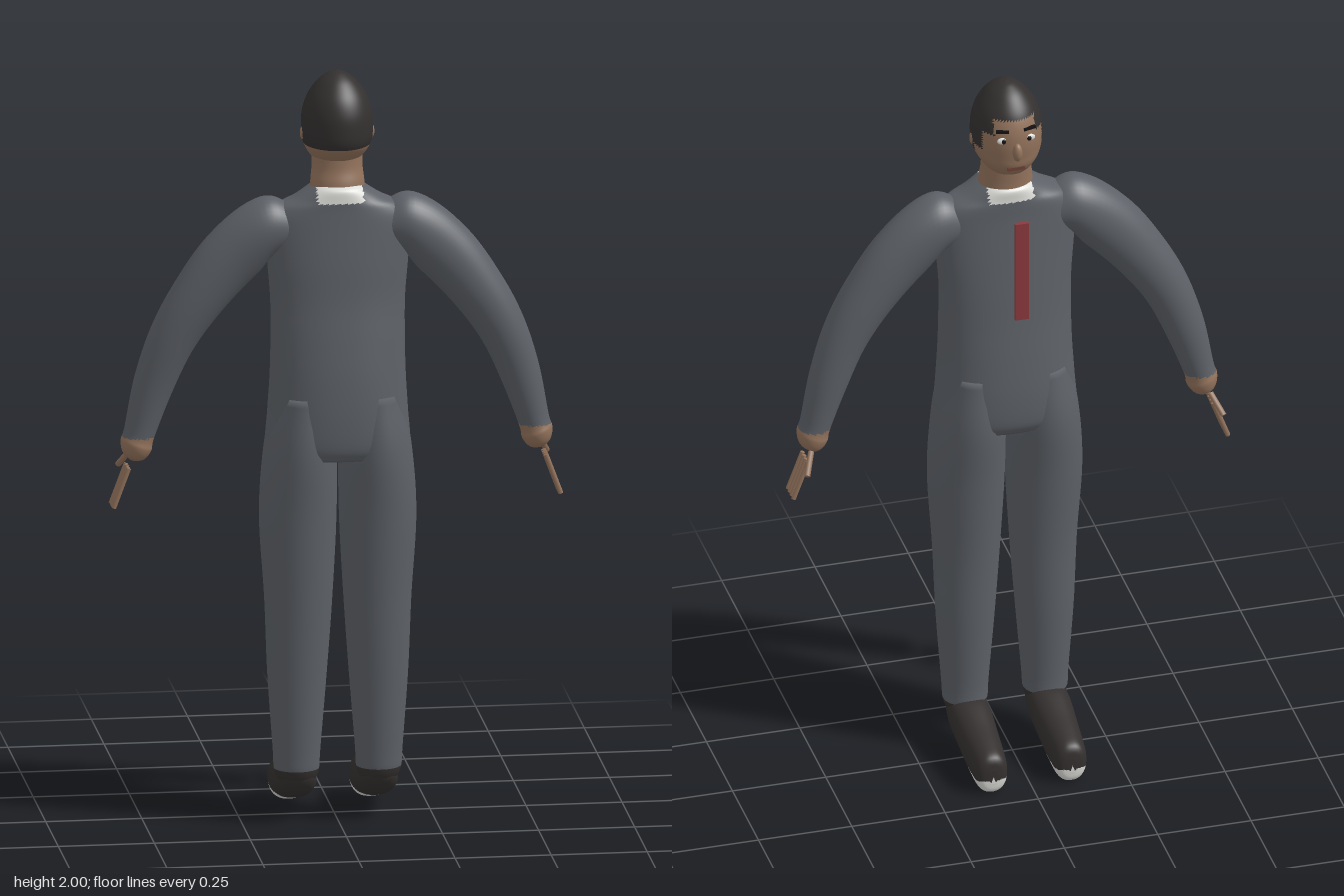
import * as THREE from 'three';

const mat = (name, color) => {
  const m = new THREE.MeshStandardMaterial({ color });
  m.name = name;
  return m;
};
const M = {
  suit: mat('suit grey', 0x5d6167),
  skin: mat('skin', 0x93735c),
  hair: mat('hair', 0x343030),
  shoe: mat('shoe', 0x353030),
  white: mat('white', 0xdcdcd8),
  tie: mat('tie red', 0x8c3a3d),
  dark: mat('dark', 0x141212),
  lips: mat('lips', 0x6b4136),
};

// Smooth closed loft. Ring: [x, y, z, a, b, tilt degrees]; a lies along the
// tilted x axis, b along z (or along y when upright is set).
function loft(rings, { side = 1, steps = 6, seg = 40, power = 2, upright = false } = {}) {
  const curve = (f) => new THREE.CatmullRomCurve3(rings.map(f), false, 'catmullrom', 0.5);
  const centres = curve((r) => new THREE.Vector3(r[0], r[1], r[2]));
  const sizes = curve((r) => new THREE.Vector3(r[3], r[4], THREE.MathUtils.degToRad(r[5] || 0)));
  const n = (rings.length - 1) * steps;
  const pos = [], idx = [];
  const sp = (v) => Math.sign(v) * Math.abs(v) ** (2 / power);
  for (let i = 0; i <= n; i++) {
    const c = centres.getPoint(i / n), s = sizes.getPoint(i / n);
    for (let j = 0; j < seg; j++) {
      const t = (j / seg) * Math.PI * 2;
      const u = s.x * sp(Math.cos(t)), v = s.y * sp(Math.sin(t));
      pos.push(side * (c.x + u * Math.cos(s.z)), c.y + u * Math.sin(s.z) + (upright ? v : 0), c.z + (upright ? 0 : v));
    }
  }
  for (let i = 0; i < n; i++) {
    for (let j = 0; j < seg; j++) {
      const a = i * seg + j, b = i * seg + ((j + 1) % seg);
      idx.push(a, b, a + seg, b, b + seg, a + seg);
    }
  }
  // end caps
  for (const [ring, row, flip] of [[rings[0], 0, false], [rings[rings.length - 1], n, true]]) {
    const c = pos.length / 3;
    pos.push(side * ring[0], ring[1], ring[2]);
    for (let j = 0; j < seg; j++) {
      const a = row * seg + j, b = row * seg + ((j + 1) % seg);
      idx.push(c, flip ? a : b, flip ? b : a);
    }
  }
  // turn all faces outward
  const P = (i) => new THREE.Vector3().fromArray(pos, i * 3);
  let volume = 0;
  for (let i = 0; i < idx.length; i += 3) volume += P(idx[i]).dot(P(idx[i + 1]).cross(P(idx[i + 2])));
  if (volume < 0) for (let i = 0; i < idx.length; i += 3) [idx[i], idx[i + 1]] = [idx[i + 1], idx[i]];
  const g = new THREE.BufferGeometry();
  g.setAttribute('position', new THREE.Float32BufferAttribute(pos, 3));
  g.setIndex(idx);
  g.computeVertexNormals();
  return g;
}

// Sort the faces into colour groups by the position of their centres.
function painted(name, g, materials, rule) {
  const p = g.attributes.position, old = g.index.array;
  const lists = materials.map(() => []);
  for (let i = 0; i < old.length; i += 3) {
    const f = [old[i], old[i + 1], old[i + 2]];
    const mid = (k) => f.reduce((s, v) => s + p.getComponent(v, k), 0) / 3;
    lists[rule(mid(0), mid(1), mid(2))].push(...f);
  }
  g.setIndex(lists.flat());
  let start = 0;
  lists.forEach((l, i) => {
    g.addGroup(start, l.length, i);
    start += l.length;
  });
  const m = new THREE.Mesh(g, materials);
  m.name = name;
  return m;
}

function ball(name, material, x, y, z, rx, ry, rz) {
  const m = new THREE.Mesh(new THREE.SphereGeometry(1, 18, 12), material);
  m.name = name;
  m.scale.set(rx, ry, rz);
  m.position.set(x, y, z);
  return m;
}

function box(name, material, x, y, z, w, h, d) {
  const m = new THREE.Mesh(new THREE.BoxGeometry(w, h, d), material);
  m.name = name;
  m.position.set(x, y, z);
  return m;
}

function rod(name, from, to, r) {
  const a = new THREE.Vector3(...from), d = new THREE.Vector3(...to).sub(a);
  const m = new THREE.Mesh(new THREE.CylinderGeometry(r, r, d.length(), 8), M.skin);
  m.name = name;
  m.position.copy(a).addScaledVector(d, 0.5);
  m.quaternion.setFromUnitVectors(new THREE.Vector3(0, 1, 0), d.normalize());
  return m;
}

export function createModel() {
  const root = new THREE.Group();
  root.name = 'standing figure in a suit';

  // Torso, with a white collar where it meets the neck
  const torso = loft([
    [0, 0.985, 0.073, 0.17, 0.11], [0, 1.02, 0.073, 0.187, 0.124], [0, 1.1, 0.0735, 0.182, 0.1265],
    [0, 1.2, 0.075, 0.176, 0.12], [0, 1.3, 0.075, 0.174, 0.109], [0, 1.4, 0.073, 0.175, 0.098],
    [0, 1.5, 0.074, 0.183, 0.089], [0, 1.6, 0.074, 0.188, 0.079], [0, 1.645, 0.073, 0.165, 0.076],
    [0, 1.67, 0.073, 0.115, 0.075], [0, 1.695, 0.072, 0.075, 0.073], [0, 1.705, 0.072, 0.06, 0.06],
  ], { power: 2.2, seg: 56 });
  root.add(painted('torso', torso, [M.suit, M.white], (x, y) => (y > 1.664 && Math.abs(x) < 0.06 ? 1 : 0)));

  // Neck
  const neck = new THREE.Mesh(loft([
    [0, 1.66, 0.07, 0.073, 0.066], [0, 1.71, 0.068, 0.07, 0.062],
    [0, 1.75, 0.062, 0.066, 0.058], [0, 1.81, 0.06, 0.066, 0.058],
  ]), M.skin);
  neck.name = 'neck';
  root.add(neck);

  // Head, hair painted over the crown, sides and back
  const head = loft([
    [0, 1.745, 0.04, 0.03, 0.03], [0, 1.76, 0.042, 0.055, 0.058], [0, 1.79, 0.052, 0.078, 0.09],
    [0, 1.82, 0.06, 0.09, 0.103], [0, 1.86, 0.06, 0.093, 0.107], [0, 1.9, 0.06, 0.089, 0.103],
    [0, 1.94, 0.06, 0.074, 0.087], [0, 1.975, 0.06, 0.048, 0.057], [0, 1.994, 0.06, 0.022, 0.026],
    [0, 2, 0.06, 0.002, 0.002],
  ], { seg: 64 });
  root.add(painted('head', head, [M.skin, M.hair], (x, y, z) =>
    (y > 1.808 && (z > 0.045 || y > 1.93 || (y > 1.835 && z > 0.005) || (y > 1.89 && Math.abs(x) > 0.055)) ? 1 : 0)));

  // Face
  root.add(ball('nose', M.skin, 0, 1.845, -0.049, 0.013, 0.026, 0.015));
  root.add(box('mouth', M.lips, 0, 1.79, -0.036, 0.045, 0.009, 0.009));
  for (const s of [1, -1]) {
    root.add(ball('eye', M.white, s * 0.035, 1.878, -0.036, 0.016, 0.01, 0.006));
    root.add(ball('pupil', M.dark, s * 0.034, 1.878, -0.041, 0.006, 0.007, 0.003));
    const brow = box('eyebrow', M.dark, s * 0.036, 1.905, -0.034, 0.034, 0.007, 0.009);
    brow.rotation.y = s * -0.25;
    root.add(brow);
    root.add(ball('ear', M.skin, s * 0.091, 1.837, 0.064, 0.006, 0.017, 0.011));
  }

  // Floating tie
  root.add(box('tie', M.tie, 0, 1.51, -0.09, 0.037, 0.29, 0.011));

  for (const side of [1, -1]) {
    const label = side > 0 ? 'left' : 'right';

    // Sleeve and palm
    const arm = loft([
      [0.12, 1.59, 0.074, 0.055, 0.055, 98], [0.19, 1.588, 0.074, 0.084, 0.073, 84],
      [0.285, 1.508, 0.071, 0.081, 0.07, 50], [0.37, 1.4, 0.068, 0.071, 0.066, 39],
      [0.432, 1.295, 0.063, 0.062, 0.06, 32], [0.478, 1.175, 0.056, 0.053, 0.052, 24],
      [0.513, 1.05, 0.053, 0.041, 0.044, 20], [0.522, 1.015, 0.053, 0.042, 0.046, 20],
      [0.529, 0.988, 0.052, 0.03, 0.035, 20], [0.533, 0.976, 0.052, 0.008, 0.01, 20],
    ], { side, steps: 8 });
    root.add(painted(label + 'Arm', arm, [M.suit, M.skin], (x, y) => (y < 1.04 ? 1 : 0)));

    // Fingers and thumb
    for (let i = 0; i < 4; i++) {
      const z = 0.016 + i * 0.0175;
      root.add(rod(label + 'Finger', [side * 0.543, 0.957, z], [side * 0.582, 0.852, z], 0.0065));
    }
    root.add(rod(label + 'Thumb', [side * 0.535, 0.988, 0.015], [side * 0.558, 0.943, -0.03], 0.008));

    // Trouser leg, ending inside the shoe
    const leg = loft([
      [0.09, 1.15, 0.074, 0.075, 0.11], [0.098, 1, 0.073, 0.094, 0.123], [0.104, 0.82, 0.075, 0.1, 0.107],
      [0.103, 0.6, 0.077, 0.088, 0.088], [0.106, 0.4, 0.075, 0.077, 0.075],
      [0.107, 0.2, 0.074, 0.062, 0.059], [0.107, 0.14, 0.072, 0.058, 0.055], [0.106, 0.105, 0.068, 0.045, 0.042],
    ], { side, steps: 8 });
    root.add(painted(label + 'Leg', leg, [M.suit, M.shoe], (x, y) => (y < 0.145 ? 1 : 0)));

    // Shoe with a pale sole
    const shoe = loft([
      [0.106, 0.138, 0.12, 0.015, 0.015], [0.106, 0.132, 0.108, 0.036, 0.032], [0.106, 0.12, 0.08, 0.05, 0.046],
      [0.106, 0.108, 0.04, 0.055, 0.052], [0.106, 0.1, 0, 0.055, 0.056], [0.106, 0.08, -0.075, 0.051, 0.058],
      [0.106, 0.065, -0.14, 0.047, 0.059], [0.106, 0.058, -0.18, 0.042, 0.055], [0.106, 0.056, -0.195, 0.03, 0.042],
      [0.106, 0.056, -0.2, 0.012, 0.018],
    ], { side, upright: true, power: 2.3, seg: 56 });
    root.add(painted(label + 'Shoe', shoe, [M.shoe, M.white], (x, y) => (y < 0.045 ? 1 : 0)));
  }
  return root;
}
